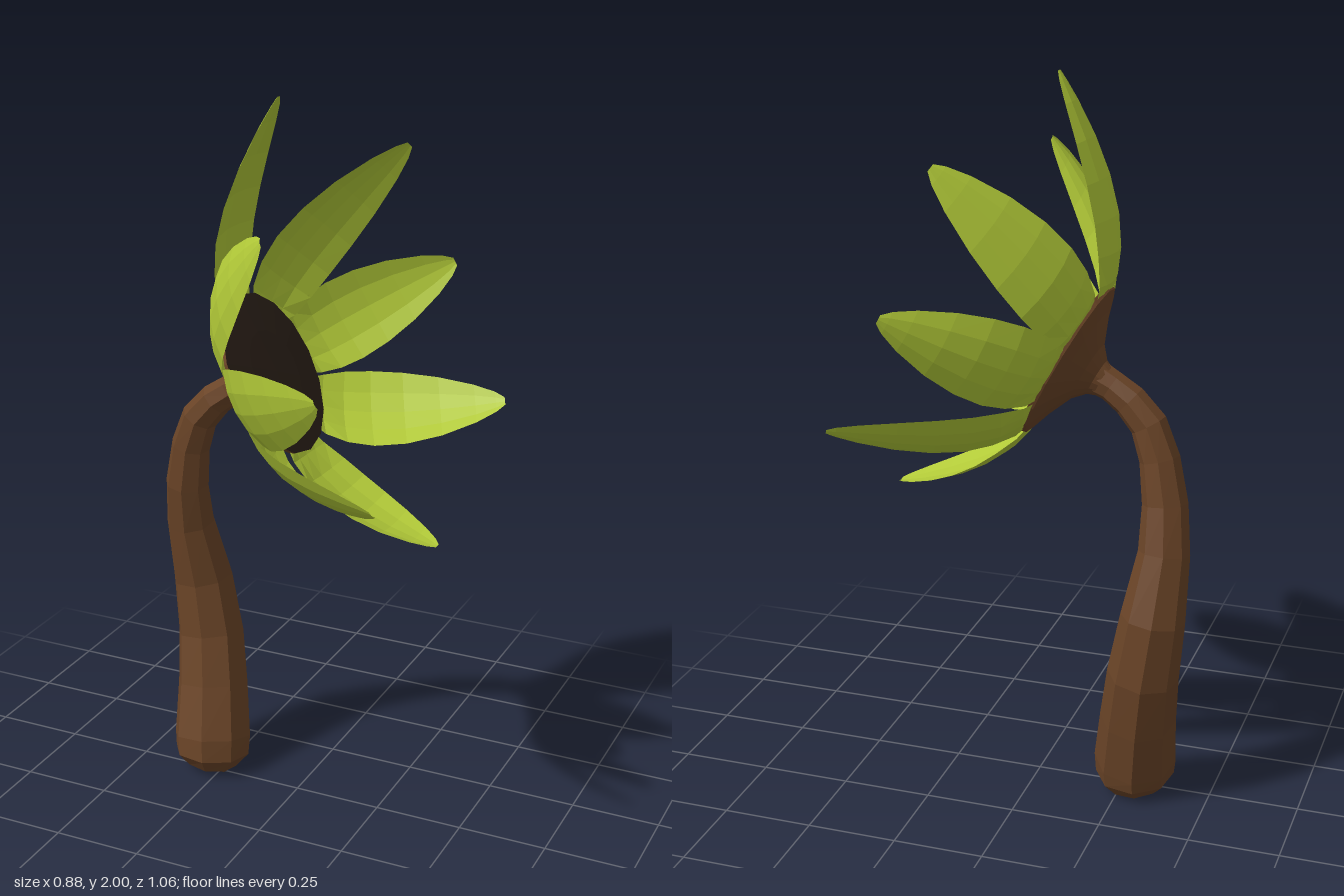
import * as THREE from 'three';

const mat = (color, side = THREE.FrontSide) =>
  new THREE.MeshStandardMaterial({ color, side, flatShading: true, roughness: 0.9 });

// Joins rows of points into a quad surface
function loft(rows) {
  const n = rows[0].length, index = [];
  for (let i = 0; i < rows.length - 1; i++) {
    for (let j = 0; j < n - 1; j++) {
      const a = i * n + j, b = a + n;
      index.push(a, a + 1, b + 1, a, b + 1, b);
    }
  }
  const g = new THREE.BufferGeometry();
  g.setAttribute('position', new THREE.Float32BufferAttribute(rows.flat().flatMap(p => p.toArray()), 3));
  g.setIndex(index);
  g.computeVertexNormals();
  return g;
}

// Eight-sided stalk: rings of x, y, z, radius with a closed, bevelled foot
function stemGeometry() {
  const rings = [
    [-0.29, 0.01, -0.02, 0], [-0.29, 0.01, -0.02, 0.075], [-0.288, 0.05, -0.022, 0.11],
    [-0.29, 0.1, -0.03, 0.114], [-0.307, 0.25, -0.07, 0.105], [-0.327, 0.4, -0.102, 0.098],
    [-0.352, 0.57, -0.106, 0.088], [-0.37, 0.75, -0.07, 0.07], [-0.363, 0.88, -0.043, 0.062],
    [-0.342, 1.0, -0.03, 0.055], [-0.308, 1.09, -0.022, 0.051], [-0.255, 1.15, -0.02, 0.047],
    [-0.205, 1.186, -0.02, 0.043], [-0.172, 1.203, -0.02, 0.046],
  ];
  const at = i => new THREE.Vector3(...rings[Math.min(Math.max(i, 0), rings.length - 1)].slice(0, 3));
  return loft(rings.map((ring, i) => {
    const t = i < 2 ? new THREE.Vector3(0.08, 1, -0.1) : at(i + 1).sub(at(i - 1));
    t.normalize();
    const b = new THREE.Vector3(0, 0, 1).addScaledVector(t, -t.z).normalize();
    const a = b.clone().cross(t);
    return Array.from({ length: 9 }, (_, j) => {
      const q = (j % 8) * Math.PI / 4 + 0.2;
      return at(i).addScaledVector(a, ring[3] * Math.cos(q)).addScaledVector(b, ring[3] * Math.sin(q));
    });
  }));
}

// Petal from the rim to its tip, curling forward and slightly cupped
function petalGeometry(up, side, height) {
  const profile = [[0, 0.07], [0.14, 0.094], [0.3, 0.112], [0.46, 0.119], [0.62, 0.113],
    [0.77, 0.093], [0.9, 0.06], [0.97, 0.032], [1, 0.012]];
  const reach = Math.hypot(up, side), base = 0.18;
  const out = new THREE.Vector3(-up / reach, 0, side / reach);
  const across = new THREE.Vector3(-out.z, 0, out.x);
  return loft(profile.map(([t, w]) => {
    const slope = 1.9 * height * Math.pow(t, 0.9) / (reach - base);
    const face = new THREE.Vector3(0, 1, 0).addScaledVector(out, -slope).normalize();
    const p = out.clone().multiplyScalar(base + (reach - base) * t);
    p.y = -0.012 + (height + 0.012) * Math.pow(t, 1.9);
    return [-1, -0.5, 0, 0.5, 1].map(s =>
      p.clone().addScaledVector(across, s * w).addScaledVector(face, 0.2 * w * (s * s - 0.3) * Math.min(1, t * 4)));
  }));
}

export function createModel() {
  const model = new THREE.Group();
  model.name = 'flower';
  const brown = mat(0x6a4427), dark = mat(0x2b2018), green = mat(0xb2ca38, THREE.DoubleSide);
  const add = (parent, name, geometry, material) => {
    const mesh = new THREE.Mesh(geometry, material);
    mesh.name = name;
    parent.add(mesh);
    return mesh;
  };

  add(model, 'stem', stemGeometry(), brown);

  // Flower head: local y points out of the bloom
  const head = new THREE.Group();
  head.name = 'flowerHead';
  head.position.set(-0.08, 1.25, -0.02);
  head.rotation.z = -1.087;
  model.add(head);

  const cup = [[0.044, -0.115], [0.052, -0.095], [0.085, -0.066], [0.165, -0.032], [0.225, -0.012], [0.23, 0.004]];
  add(head, 'cup', new THREE.LatheGeometry(cup.map(p => new THREE.Vector2(...p)), 16), brown)
    .scale.z = 0.94;
  const face = [[0.23, 0.004], [0.12, 0.01], [0, 0.012]];
  add(head, 'seedDisc', new THREE.LatheGeometry(face.map(p => new THREE.Vector2(...p)), 16), dark)
    .scale.z = 0.94;

  // Petal tips: distance up the disc, sideways, and forward
  const tips = [
    [0.648, 0.04, 0.38], [0.397, -0.37, 0.469], [0.046, -0.51, 0.385], [-0.357, -0.4, 0.4],
    [-0.59, 0.02, 0.243], [-0.361, 0.47, 0.364], [-0.05, 0.55, 0.397], [0.346, 0.46, 0.396],
  ];
  tips.forEach((tip, i) => add(head, `petal${i + 1}`, petalGeometry(...tip), green));

  return model;
}
